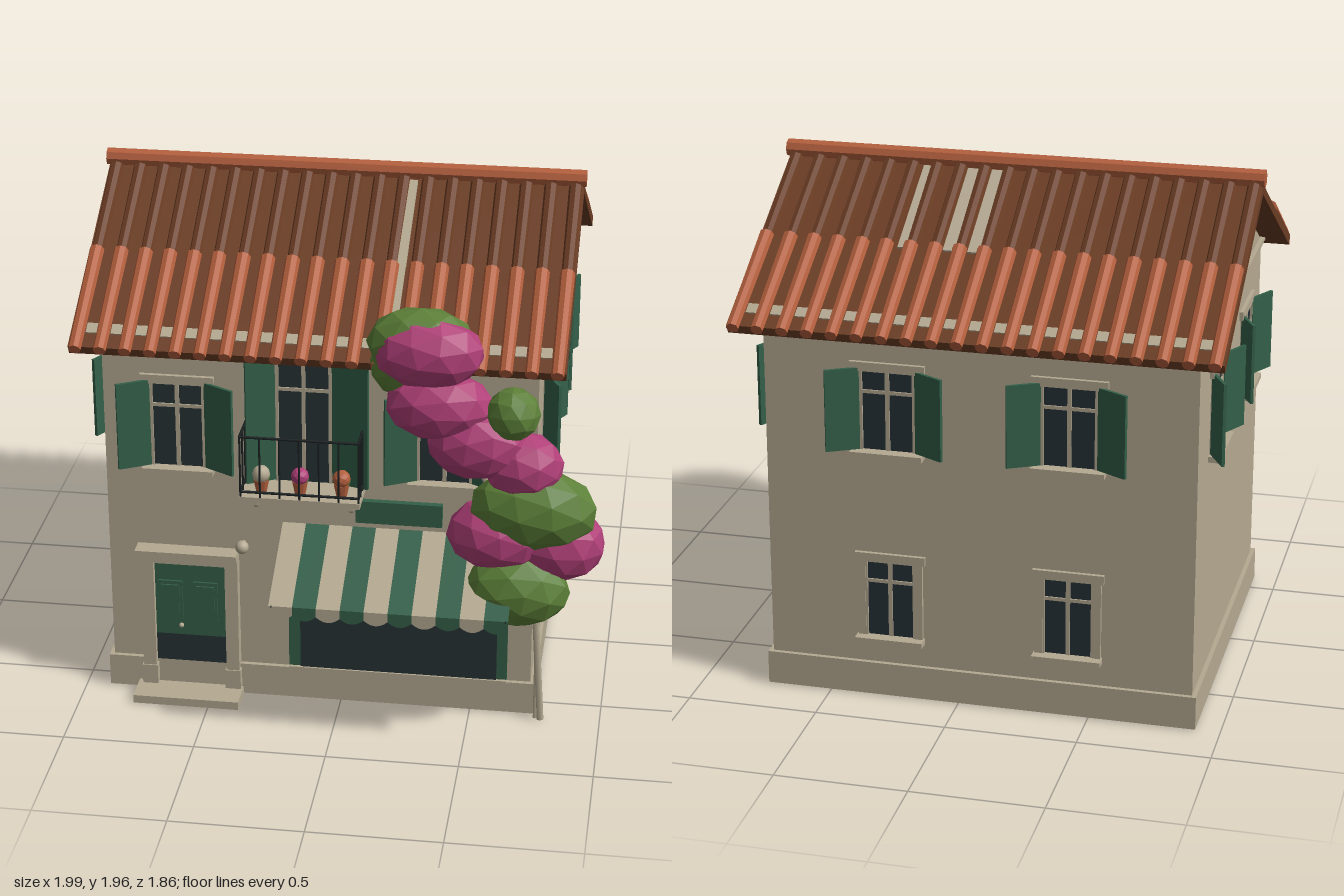
import * as THREE from 'three';

const mat = (name, color, extra = {}) => {
  const m = new THREE.MeshStandardMaterial({ color, ...extra });
  m.name = name;
  return m;
};

export function createModel() {
  const root = new THREE.Group();
  root.name = 'house';
  const cream = mat('cream plaster', 0xb5aa92, { side: THREE.DoubleSide });
  const green = mat('dark green paint', 0x34604a, { side: THREE.DoubleSide });
  const glass = mat('dark glass', 0x263236);
  const clay = mat('terracotta', 0xb4603e, { flatShading: true });
  const brown = mat('brown tile', 0x6b3d24, { flatShading: true });
  const iron = mat('black iron', 0x1b2121);
  const leaf = mat('leaf green', 0x5c8038, { flatShading: true });
  const bloom = mat('magenta bloom', 0xb04078, { flatShading: true });

  const add = (parent, name, geo, m, x = 0, y = 0, z = 0) => {
    const mesh = new THREE.Mesh(geo, m);
    mesh.name = name;
    mesh.position.set(x, y, z);
    parent.add(mesh);
    return mesh;
  };
  // Box given by its limits on each axis
  const box = (parent, name, m, x0, x1, y0, y1, z0, z1) =>
    add(parent, name, new THREE.BoxGeometry(x1 - x0, y1 - y0, z1 - z0), m,
      (x0 + x1) / 2, (y0 + y1) / 2, (z0 + z1) / 2);
  const group = (parent, name, x = 0, y = 0, z = 0, ry = 0) => {
    const g = new THREE.Group();
    g.name = name;
    g.position.set(x, y, z);
    g.rotation.y = ry;
    parent.add(g);
    return g;
  };
  const rod = (parent, name, m, a, b, r, sides = 6) => {
    const p = new THREE.Vector3(...a), q = new THREE.Vector3(...b);
    const mesh = add(parent, name, new THREE.CylinderGeometry(r, r, p.distanceTo(q), sides), m);
    mesh.position.copy(p).add(q).multiplyScalar(0.5);
    mesh.quaternion.setFromUnitVectors(new THREE.Vector3(0, 1, 0), q.sub(p).normalize());
    return mesh;
  };

  // Walls with gables, plinth and cornice
  const CX = -0.08, CZ = -0.105;
  const gable = new THREE.Shape([[-0.685, 0], [0.685, 0], [0.685, 1.48], [0, 1.865], [-0.685, 1.48]]
    .map(p => new THREE.Vector2(...p)));
  const walls = add(root, 'walls', new THREE.ExtrudeGeometry(gable, { depth: 1.62, bevelEnabled: false }), cream, -0.89, 0, CZ);
  walls.rotation.y = Math.PI / 2;
  box(root, 'plinth', cream, -0.907, 0.747, 0.005, 0.135, -0.807, 0.597);
  box(root, 'cornice', cream, -0.9, 0.74, 1.465, 1.482, -0.805, 0.595);
  box(root, 'corniceTop', cream, -0.907, 0.747, 1.482, 1.497, -0.81, 0.6);

  // Wall frames: local z points out of each wall
  const front = group(root, 'frontWall', 0, 0, 0.58);
  const right = group(root, 'rightWall', 0.73, 0, 0, Math.PI / 2);
  const back = group(root, 'backWall', 0, 0, -0.79, Math.PI);
  const left = group(root, 'leftWall', -0.89, 0, 0, -Math.PI / 2);

  const shutter = (g, side, x, y0, y1, w, angle) => {
    const hinge = group(g, 'shutter', x, 0, 0.008, -side * angle);
    const [a, b] = side > 0 ? [0, w] : [-w, 0];
    box(hinge, 'shutterLeaf', green, a, b, y0, y1, -0.006, 0.006);
  };
  const windowUnit = (wall, x, y0, y1, w, shutters) => {
    const g = group(wall, 'window', x), h = w / 2;
    box(g, 'pane', glass, -h, h, y0, y1, -0.01, 0.004);
    for (const s of [-1, 1]) box(g, 'jamb', cream, s * h - 0.008, s * h + 0.008, y0, y1, 0, 0.012);
    box(g, 'mullion', cream, -0.008, 0.008, y0, y1, 0, 0.01);
    box(g, 'transom', cream, -h, h, y0 + (y1 - y0) * 0.72, y0 + (y1 - y0) * 0.72 + 0.013, 0, 0.01);
    box(g, 'header', cream, -h - 0.04, h + 0.04, y1, y1 + 0.035, 0, 0.015);
    box(g, 'sill', cream, -h - 0.035, h + 0.035, y0 - 0.022, y0, 0, 0.05);
    if (shutters) for (const s of [-1, 1]) shutter(g, s, s * (h + 0.005), y0, y1 + 0.012, 0.128, 0.5);
    else for (const s of [-1, 1]) box(g, 'surround', cream, s * (h + 0.015) - 0.015, s * (h + 0.015) + 0.015, y0, y1, 0, 0.015);
  };
  for (const x of [-0.61, 0.39]) windowUnit(front, x, 0.97, 1.305, 0.2, true);
  for (const s of [0.22, -0.44]) {
    windowUnit(right, -s, 1.0, 1.305, 0.205, true);
    windowUnit(left, s, 1.0, 1.305, 0.205, true);
  }
  for (const x of [0.26, -0.42]) {
    windowUnit(back, -x, 1.0, 1.305, 0.205, true);
    windowUnit(back, -x, 0.25, 0.55, 0.19, false);
  }

  // Roof: two tiled slopes
  const A = 0.506, LEN = 0.92, N = 20, PITCH = 0.0928;
  const slope = (name, ry, bareTroughs) => {
    const s = group(group(root, name, CX, 1.905, -0.11, ry), 'slope');
    s.rotation.x = A;
    box(s, 'deck', brown, -0.912, 0.912, -0.032, 0, 0, LEN - 0.02);
    box(s, 'lowerDeck', brown, -0.912, 0.912, 0, 0.008, 0.45, LEN - 0.02);
    for (let i = 0; i < N; i++) {
      const x = (i - (N - 1) / 2) * PITCH;
      const tile = (n, m, z0, z1, r, y) => {
        const geo = new THREE.CylinderGeometry(r * 0.85, r, z1 - z0, 8);
        geo.rotateX(Math.PI / 2);
        add(s, n, geo, m, x, y, (z0 + z1) / 2);
      };
      tile('upperTile', brown, 0.02, 0.5, 0.027, 0.003);
      tile('lowerTile', clay, 0.445, LEN, 0.028, 0.017);
      // Mortar between the eave tiles
      if (i < N - 1) box(s, 'mortar', cream, x + 0.026, x + PITCH - 0.026, 0.004, 0.013, 0.79, 0.835);
    }
    for (const [x, end] of bareTroughs) {
      const lx = (x - CX) * (ry ? -1 : 1);
      box(s, 'bareStrip', cream, lx - 0.024, lx + 0.024, 0.001, 0.016, 0.03, end);
    }
  };
  slope('frontRoof', 0, [[0.18, 0.76]]);
  slope('backRoof', Math.PI, [[0.005, 0.46], [0.098, 0.46], [0.27, 0.46]]);
  rod(root, 'ridge', clay, [-1, 1.93, -0.11], [0.84, 1.93, -0.11], 0.034, 8);

  // Front door
  const door = group(front, 'door');
  box(door, 'leaf', green, -0.715, -0.44, 0.25, 0.575, -0.01, 0.02);
  box(door, 'lowerPanel', glass, -0.715, -0.44, 0.135, 0.25, -0.01, 0.02);
  for (const x of [-0.655, -0.52]) {
    box(door, 'raisedPanel', green, x - 0.047, x + 0.047, 0.32, 0.485, 0.02, 0.028);
    box(door, 'panelField', green, x - 0.035, x + 0.035, 0.335, 0.47, 0.028, 0.034);
  }
  add(door, 'knob', new THREE.SphereGeometry(0.01, 10, 8), cream, -0.615, 0.295, 0.03);
  for (const x of [-0.74, -0.415]) {
    box(door, 'pilaster', cream, x - 0.025, x + 0.025, 0.04, 0.575, 0, 0.045);
    box(door, 'pilasterFoot', cream, x - 0.03, x + 0.03, 0.04, 0.12, 0, 0.05);
  }
  box(door, 'lintel', cream, -0.765, -0.39, 0.57, 0.6, 0, 0.05);
  box(door, 'hood', cream, -0.78, -0.39, 0.6, 0.628, 0, 0.07);
  box(door, 'step', cream, -0.79, -0.38, 0.002, 0.035, 0, 0.142);
  rod(front, 'lampArm', cream, [-0.37, 0.66, 0], [-0.37, 0.66, 0.04], 0.008);
  add(front, 'lampGlobe', new THREE.SphereGeometry(0.026, 14, 10), cream, -0.37, 0.66, 0.045);

  // Shop window and sign
  box(front, 'shopFrame', green, -0.2, 0.64, 0.14, 0.6, 0, 0.012);
  box(front, 'shopGlass', glass, -0.155, 0.6, 0.143, 0.58, 0.008, 0.018);
  box(front, 'shopSill', cream, -0.2, 0.64, 0.13, 0.143, 0, 0.025);
  box(front, 'signBoard', green, 0.06, 0.385, 0.785, 0.875, 0, 0.025);

  // Striped awning with scalloped valance
  const awning = group(front, 'awning');
  const W = 0.885 / 10, drop = 0.17, reach = 0.345;
  for (let i = 0; i < 10; i++) {
    const m = i % 2 ? green : cream, x = -0.22 + W * (i + 0.5);
    const cloth = add(awning, 'awningStripe', new THREE.PlaneGeometry(W, Math.hypot(drop, reach)), m, x, 0.755 - drop / 2, reach / 2);
    cloth.rotation.x = -Math.atan2(reach, drop);
    const flap = new THREE.Shape();
    flap.moveTo(-W / 2, 0);
    flap.lineTo(-W / 2, -0.035);
    flap.quadraticCurveTo(0, -0.075, W / 2, -0.035);
    flap.lineTo(W / 2, 0);
    add(awning, 'valance', new THREE.ShapeGeometry(flap, 6), m, x, 0.585, reach);
  }
  for (const x of [-0.21, 0.655]) rod(awning, 'awningArm', iron, [x, 0.575, 0], [x, 0.583, reach], 0.004);

  // Balcony door, slab, railing and pots
  const balcony = group(front, 'balcony');
  box(balcony, 'balconyGlass', glass, -0.24, -0.03, 0.935, 1.44, -0.01, 0.006);
  for (const x of [-0.235, -0.135, -0.035]) box(balcony, 'balconyFrame', cream, x - 0.007, x + 0.007, 0.935, 1.44, 0, 0.012);
  box(balcony, 'balconyTransom', cream, -0.24, -0.03, 1.305, 1.318, 0, 0.012);
  shutter(balcony, -1, -0.243, 0.94, 1.44, 0.115, 0.5);
  shutter(balcony, 1, -0.027, 0.94, 1.44, 0.145, 0.3);
  box(balcony, 'slab', cream, -0.355, 0.095, 0.912, 0.935, 0, 0.165);
  for (const x of [-0.31, 0.05]) {
    box(balcony, 'bracket', cream, x - 0.014, x + 0.014, 0.875, 0.912, 0, 0.11);
    add(balcony, 'bracketScroll', new THREE.SphereGeometry(0.017, 10, 8), cream, x, 0.87, 0.06).scale.y = 1.6;
  }
  const X0 = -0.35, X1 = 0.09, ZR = 0.16;
  for (const y of [0.955, 1.178]) {
    rod(balcony, 'rail', iron, [X0, y, ZR], [X1, y, ZR], 0.005);
    for (const x of [X0, X1]) rod(balcony, 'sideRail', iron, [x, y, 0], [x, y, ZR], 0.005);
  }
  for (let i = 0; i < 7; i++) {
    const x = X0 + (X1 - X0) * i / 6;
    rod(balcony, 'baluster', iron, [x, 0.935, ZR], [x, 1.178, ZR], 0.004);
  }
  for (const x of [X0, X1]) for (const z of [0.05, 0.105]) rod(balcony, 'baluster', iron, [x, 0.935, z], [x, 1.178, z], 0.004);
  [[-0.28, cream], [-0.135, bloom], [0.02, clay]].forEach(([x, m]) => {
    add(balcony, 'pot', new THREE.CylinderGeometry(0.03, 0.02, 0.05, 10), clay, x, 0.96, 0.105);
    add(balcony, 'potLeaves', new THREE.IcosahedronGeometry(0.032, 1), leaf, x, 0.993, 0.1);
    add(balcony, 'potFlowers', new THREE.IcosahedronGeometry(0.034, 1), m, x, 1.008, 0.11);
  });

  // Climbing shrub: two stems and overlapping clumps
  const shrub = group(root, 'climbingShrub');
  rod(shrub, 'stem', cream, [0.775, 0.004, 0.63], [0.73, 0.65, 0.605], 0.014);
  rod(shrub, 'stem', cream, [0.755, 0.004, 0.62], [0.75, 0.65, 0.6], 0.01);
  rod(shrub, 'branch', cream, [0.73, 0.6, 0.61], [0.35, 1.45, 0.66], 0.012);
  // position, then radii
  [
    [leaf, 0.31, 1.57, 0.69, 0.2, 0.135, 0.13],
    [leaf, 0.24, 1.48, 0.67, 0.12, 0.13, 0.09],
    [bloom, 0.34, 1.55, 0.72, 0.205, 0.135, 0.13],
    [bloom, 0.38, 1.34, 0.71, 0.2, 0.13, 0.13],
    [leaf, 0.65, 1.33, 0.73, 0.1, 0.1, 0.1],
    [bloom, 0.52, 1.2, 0.71, 0.19, 0.14, 0.13],
    [bloom, 0.69, 1.11, 0.7, 0.15, 0.13, 0.12],
    [leaf, 0.73, 0.94, 0.71, 0.24, 0.16, 0.135],
    [bloom, 0.6, 0.83, 0.7, 0.19, 0.14, 0.14],
    [bloom, 0.82, 0.79, 0.665, 0.18, 0.15, 0.14],
    [leaf, 0.68, 0.625, 0.74, 0.2, 0.145, 0.13],
  ].forEach(([m, x, y, z, rx, ry, rz], i) => {
    const geo = new THREE.IcosahedronGeometry(1, 1).rotateY(i * 0.7).rotateZ(i * 0.4);
    add(shrub, m === leaf ? 'leafClump' : 'bloomClump', geo, m, x, y, z).scale.set(rx, ry, rz);
  });

  return root;
}
